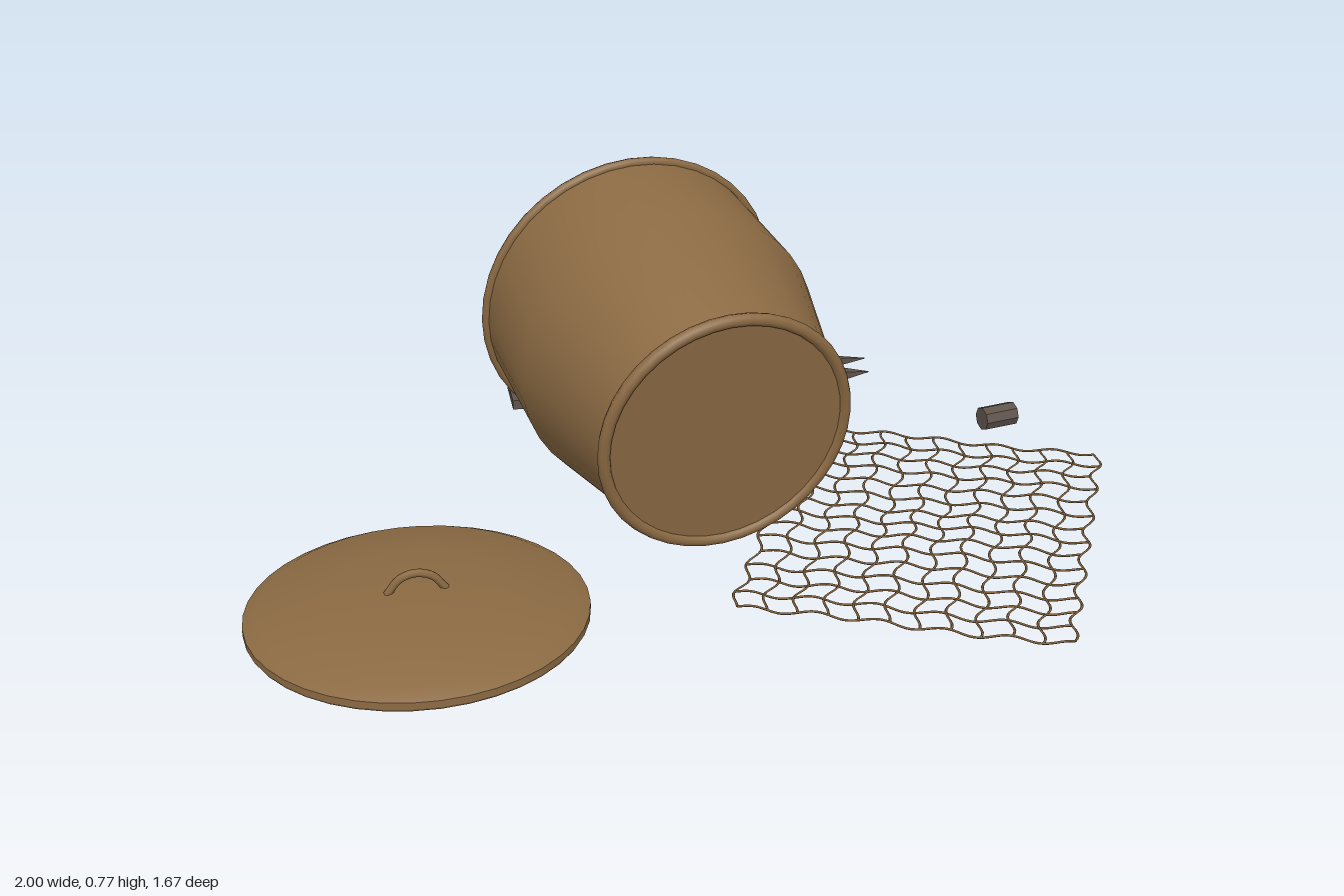
import * as THREE from 'three';
import { toCreasedNormals } from 'three/addons/utils/BufferGeometryUtils.js';

const wicker = new THREE.MeshStandardMaterial({ color: 0x8b6a43, side: THREE.DoubleSide });
wicker.name = 'wickerBrown';
const oldWood = new THREE.MeshStandardMaterial({ color: 0x5f534b });
oldWood.name = 'weatheredWood';

function add(parent, name, geometry, material) {
  const mesh = new THREE.Mesh(geometry, material);
  mesh.name = name;
  parent.add(mesh);
  return mesh;
}

function group(name, x, y, z, turn = 0) {
  const g = new THREE.Group();
  g.name = name;
  g.position.set(x, y, z);
  g.rotation.y = turn;
  return g;
}

const lathe = (points, segments) =>
  new THREE.LatheGeometry(points.map(([r, y]) => new THREE.Vector2(r, y)), segments);

// Open basket lying on its side; local y runs from its floor to its mouth
function makeBasket() {
  const basket = group('basket', 0.05, 0.322, 0.225);
  const axis = new THREE.Vector3(-0.208, 0.088, -0.59);
  const length = axis.length();
  basket.quaternion.setFromUnitVectors(new THREE.Vector3(0, 1, 0), axis.normalize());

  add(basket, 'basketWall', lathe([[0.28, 0], [0.362, 0.345], [0.356, length]], 40), wicker);
  add(basket, 'basketFloor', new THREE.CylinderGeometry(0.28, 0.28, 0.01, 40), wicker);
  for (const [name, radius, y, tube] of [['bottomRim', 0.287, 0, 0.015], ['mouthRim', 0.358, length, 0.012]]) {
    const rim = add(basket, name, new THREE.TorusGeometry(radius, tube, 8, 40), wicker);
    rim.rotation.x = Math.PI / 2;
    rim.position.y = y;
  }
  return basket;
}

// Shallow domed lid with a hollow underside and an arched handle
function makeLid() {
  const lid = group('lid', -0.627, 0, 0.459, 0.2);
  const profile = [[0, 0.03], [0.34, 0.028], [0.346, 0.006], [0.369, 0.006], [0.373, 0.012],
    [0.373, 0.028], [0.342, 0.045], [0.19, 0.068], [0, 0.076]];
  add(lid, 'lidDome', toCreasedNormals(lathe(profile, 40), 0.5), wicker);
  const arch = new THREE.CatmullRomCurve3([
    [-0.064, 0.07], [-0.036, 0.104], [0, 0.115], [0.036, 0.104], [0.064, 0.07],
  ].map(([x, y]) => new THREE.Vector3(x, y, 0)));
  add(lid, 'lidHandle', new THREE.TubeGeometry(arch, 14, 0.009, 6), wicker);
  return lid;
}

// Plank with one splintered end; its splinters taper to points
function makePlank() {
  const plank = group('plank', -0.468, 0.008, -0.641, 0.146);
  const outline = [[0, -0.069], [0.867, -0.069], [0.875, -0.055], [0.955, -0.037], [0.885, -0.024],
    [0.872, 0.002], [0.88, 0.036], [0.967, 0.05], [0.87, 0.06], [0.857, 0.069], [0, 0.069]];
  const shape = new THREE.Shape(outline.map(([u, v]) => new THREE.Vector2(u, v)));
  const geometry = new THREE.ExtrudeGeometry(shape, { depth: 0.025, bevelEnabled: false });
  const p = geometry.attributes.position;
  for (let i = 0; i < p.count; i++) if (p.getX(i) > 0.9) p.setZ(i, 0.0125 + (p.getZ(i) - 0.0125) * 0.1);
  geometry.rotateX(-Math.PI / 2);
  geometry.computeVertexNormals();
  add(plank, 'plankBoard', geometry, oldWood);
  return plank;
}

// Short faceted peg
function makePeg() {
  const peg = group('peg', 0.775, 0.036, -0.427, 0.37);
  const geometry = new THREE.CylinderGeometry(0.03, 0.03, 0.09, 8).rotateZ(Math.PI / 2);
  add(peg, 'pegBody', toCreasedNormals(geometry, 0.3), oldWood);
  return peg;
}

// Loose net of wavy cords spread over the ground
function makeNet() {
  const net = group('net', 0.526, 0, 0.1, -0.262);
  const width = 0.73, depth = 0.92, wave = 0.011, k = (2 * Math.PI) / 0.14;
  const place = (u, v) => new THREE.Vector3(
    u + wave * Math.sin(k * v + 2 * u),
    0.01 + 0.003 * Math.sin(11 * u + 7 * v) + 0.002 * Math.sin(17 * v),
    v + wave * Math.sin(k * u + 2 * v));
  const strands = (name, count, span, run, at) => {
    for (let i = 0; i <= count; i++) {
      const offset = (i / count - 0.5) * span;
      const points = [];
      for (let j = 0; j <= 48; j++) points.push(at(offset, (j / 48 - 0.5) * run));
      add(net, name, new THREE.TubeGeometry(new THREE.CatmullRomCurve3(points), 80, 0.003, 4), wicker);
    }
  };
  strands('longCord', 11, width, depth, (o, t) => place(o, t));
  strands('crossCord', 14, depth, width, (o, t) => place(t, o));
  return net;
}

export function createModel() {
  const model = new THREE.Group();
  model.name = 'basketAndDebris';
  model.add(makeBasket(), makeLid(), makePlank(), makePeg(), makeNet());
  return model;
}
